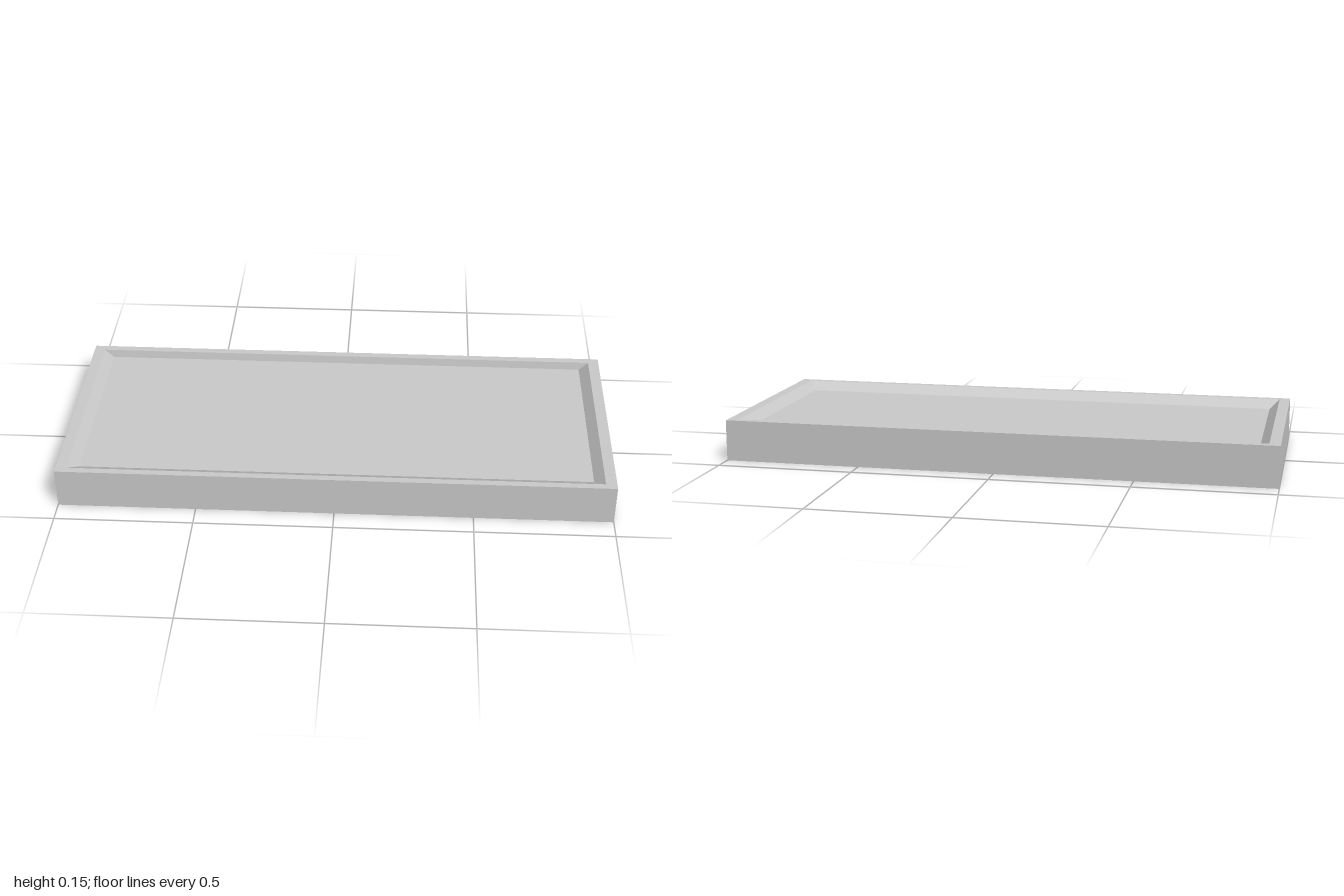
import * as THREE from 'three';

const material = new THREE.MeshStandardMaterial({ color: 0xcccccc, flatShading: true, side: THREE.DoubleSide });

// Corners of a level rectangle: half width, back z, front z, height
const ring = (x, back, front, y) => [[-x, y, front], [x, y, front], [x, y, back], [-x, y, back]];

// Joins successive four-cornered rings with quads
function band(name, rings) {
  const pos = [];
  for (let r = 0; r < rings.length - 1; r++) {
    for (let i = 0; i < 4; i++) {
      const j = (i + 1) % 4;
      const a = rings[r][i], b = rings[r][j], c = rings[r + 1][j], d = rings[r + 1][i];
      pos.push(...a, ...b, ...c, ...a, ...c, ...d);
    }
  }
  return mesh(name, pos);
}

// Flat panel filling one ring
function panel(name, [a, b, c, d], up) {
  return mesh(name, up ? [...a, ...b, ...c, ...a, ...c, ...d] : [...a, ...c, ...b, ...a, ...d, ...c]);
}

function mesh(name, positions) {
  const geometry = new THREE.BufferGeometry();
  geometry.setAttribute('position', new THREE.Float32BufferAttribute(positions, 3));
  geometry.computeVertexNormals();
  const m = new THREE.Mesh(geometry, material);
  m.name = name;
  return m;
}

export function createModel() {
  const group = new THREE.Group();
  group.name = 'tray';
  const H = 0.15;

  const bottomOuter = ring(1, -0.42, 0.42, 0);
  const topOuter = ring(1, -0.42, 0.42, H);
  const topLip = ring(0.96, -0.392, 0.395, H);
  const topFloor = ring(0.925, -0.388, 0.345, 0.12);
  const bottomLip = ring(0.975, -0.4, 0.4, 0);
  const bottomFloor = ring(0.93, -0.37, 0.36, 0.03);

  // Upright sides, narrow rims and the sloping walls of both shallow recesses
  group.add(band('outerSides', [bottomOuter, topOuter]));
  group.add(band('upperRim', [topOuter, topLip, topFloor]));
  group.add(band('lowerRim', [bottomFloor, bottomLip, bottomOuter]));

  // Recessed floor, seen from above and from below
  group.add(panel('upperFloor', topFloor, true));
  group.add(panel('underside', bottomFloor, false));
  return group;
}
